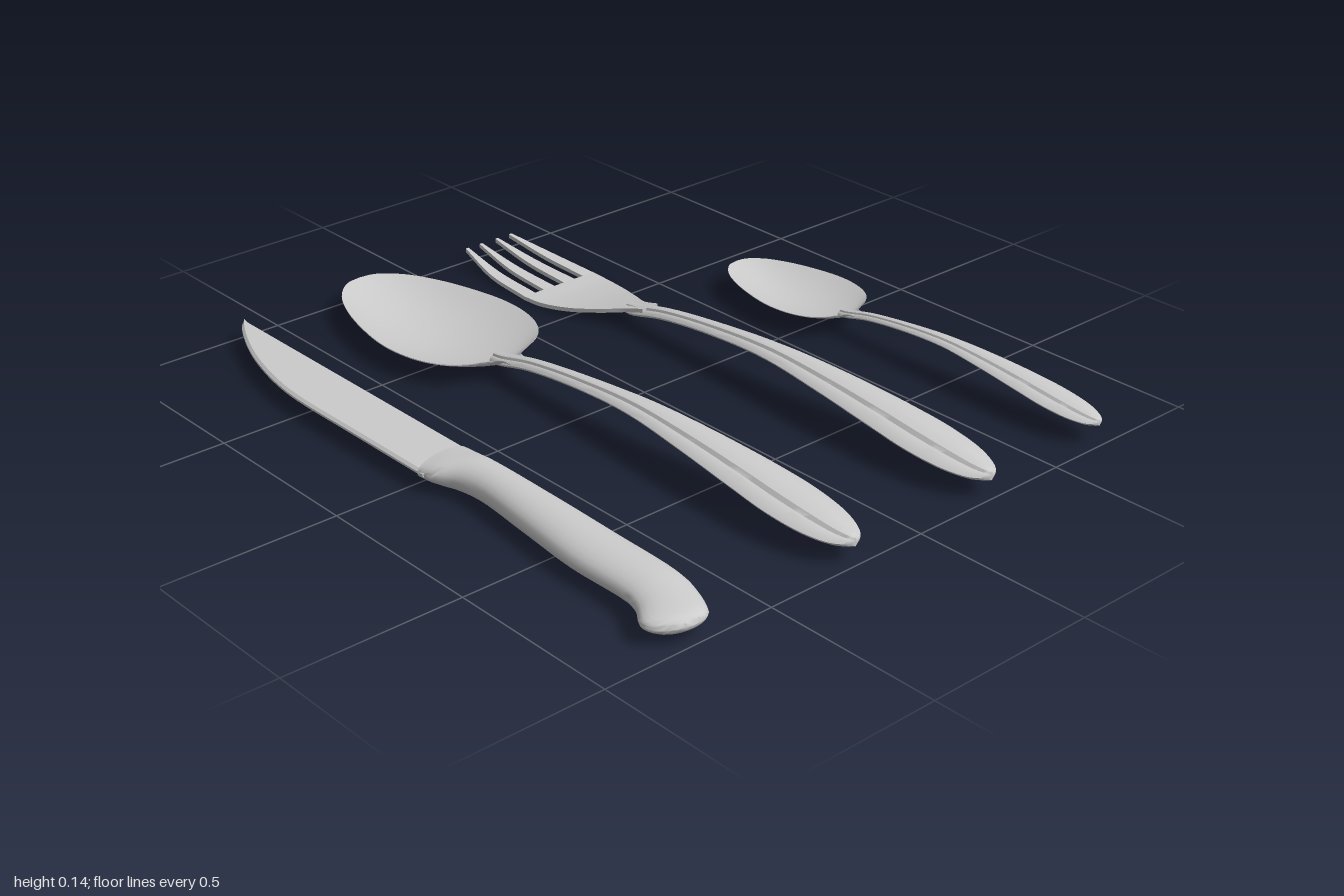
import * as THREE from 'three';
import { toCreasedNormals } from 'three/addons/utils/BufferGeometryUtils.js';

const material = new THREE.MeshStandardMaterial({ color: 0xcccccc });

// Closed skin over a list of equal-length rings of [x, y, z], fan-capped at both ends
function loft(name, rings, crease = 0.6) {
  const n = rings[0].length;
  const pos = rings.flat(2);
  const idx = [];
  for (let i = 0; i < rings.length - 1; i++) {
    for (let j = 0; j < n; j++) {
      const a = i * n + j, b = i * n + (j + 1) % n;
      idx.push(a, b, a + n, b, b + n, a + n);
    }
  }
  [0, rings.length - 1].forEach((r, end) => {
    const c = pos.length / 3;
    for (let k = 0; k < 3; k++) pos.push(rings[r].reduce((s, p) => s + p[k], 0) / n);
    for (let j = 0; j < n; j++) {
      const a = r * n + j, b = r * n + (j + 1) % n;
      if (end) idx.push(c, a, b); else idx.push(c, b, a);
    }
  });
  // Turn the skin outward if the rings ran the other way
  const v = (i) => new THREE.Vector3().fromArray(pos, i * 3);
  let volume = 0;
  for (let i = 0; i < idx.length; i += 3) volume += v(idx[i]).dot(v(idx[i + 1]).cross(v(idx[i + 2])));
  if (volume < 0) idx.reverse();
  const geo = new THREE.BufferGeometry();
  geo.setAttribute('position', new THREE.Float32BufferAttribute(pos, 3));
  geo.setIndex(idx);
  const mesh = new THREE.Mesh(toCreasedNormals(geo, crease), material);
  mesh.name = name;
  return mesh;
}

// Smooth run through a few [a, b, c] stations
const smooth = (pts, count) =>
  new THREE.CatmullRomCurve3(pts.map((p) => new THREE.Vector3(...p)), false, 'centripetal').getPoints(count);

// Arched handle with a rounded back and a raised rib: stations are [half width, top y, z]
function handle() {
  const stations = smooth([
    [0.022, 0.062, -0.36], [0.03, 0.07, -0.32], [0.029, 0.098, -0.2], [0.033, 0.125, 0],
    [0.046, 0.143, 0.23], [0.066, 0.139, 0.45], [0.082, 0.126, 0.65], [0.087, 0.113, 0.78],
    [0.075, 0.098, 0.89], [0.05, 0.085, 0.955], [0.025, 0.078, 0.983], [0.004, 0.072, 0.992],
  ], 60);
  const rings = stations.map(({ x: w, y: top, z }) => {
    const t = 0.022 + 0.35 * w, up = 0.6 * t, edge = top - up;
    const rib = w * 0.5;
    const half = [[w, 0], [w * 0.85, 0.3 * up], [rib * 1.2, 0.5 * up], [rib, 0.52 * up], [rib * 0.8, 0.85 * up], [rib * 0.4, 0.97 * up]];
    const ring = half.map(([x, y]) => [x, edge + y, z]);
    ring.push([0, top, z]);
    half.slice().reverse().forEach(([x, y]) => ring.push([-x, edge + y, z]));
    for (let i = 1; i < 10; i++) {
      const a = Math.PI * (1 + i / 10);
      ring.push([w * Math.cos(a), edge + 0.4 * t * Math.sin(a), z]);
    }
    return ring;
  });
  return loft('handle', rings);
}

// Hollow egg-shaped bowl with a flat rim: stations are [half width, unused, z]
function bowl() {
  const stations = smooth([
    [0.003, 0, -0.99], [0.045, 0, -0.982], [0.082, 0, -0.955], [0.122, 0, -0.905], [0.165, 0, -0.81],
    [0.196, 0, -0.7], [0.213, 0, -0.6], [0.213, 0, -0.52], [0.197, 0, -0.44], [0.165, 0, -0.378],
    [0.12, 0, -0.338], [0.07, 0, -0.315], [0.036, 0, -0.295], [0.028, 0, -0.26],
  ], 56);
  const N = 16;
  const rings = stations.map(({ x: w, z }) => {
    const depth = 0.058 * Math.max(0, 1 - ((z + 0.62) / 0.37) ** 2);
    const ring = [];
    for (let i = 0; i <= N; i++) {
      const s = 1 - 2 * i / N;
      ring.push([w * s, 0.07 - depth * (1 - s * s), z]);
    }
    for (let i = 0; i <= N; i++) {
      const s = -1 + 2 * i / N;
      ring.push([w * s, 0.067 - (depth + 0.005) * (1 - s * s), z]);
    }
    return ring;
  });
  return loft('bowl', rings, 0.8);
}

function spoon(name) {
  const g = new THREE.Group();
  g.name = name;
  g.add(handle(), bowl());
  return g;
}

// Flat strip of thickness t between x0 and x1
const strip = (x0, x1, y, z, t) =>
  [[x0, y - t / 2, z], [x1, y - t / 2, z], [x1, y + t / 2, z], [x0, y + t / 2, z]];

function fork() {
  const g = new THREE.Group();
  g.name = 'fork';
  const head = smooth([
    [0.028, 0.075, -0.27], [0.034, 0.058, -0.33], [0.064, 0.041, -0.4], [0.102, 0.021, -0.5],
    [0.125, 0.009, -0.6], [0.13, 0.007, -0.67],
  ], 24);
  g.add(handle(), loft('forkHead', head.map((p) => strip(-p.x, p.x, p.y, p.z, 0.012))));
  // Tines: [inner x, outer x] at the root, bulge and tip
  const tines = [
    [[0.018, 0.058], [0.02, 0.051], [0.025, 0.035]],
    [[0.09, 0.13], [0.086, 0.119], [0.077, 0.087]],
  ];
  for (const [root, mid, tip] of tines) {
    const inner = smooth([[root[0], 0.007, -0.67], [mid[0], 0.015, -0.84], [tip[0], 0.038, -1]], 12);
    const outer = smooth([[root[1], 0.007, -0.67], [mid[1], 0.015, -0.84], [tip[1], 0.038, -1]], 12);
    for (const side of [1, -1]) {
      g.add(loft('tine', inner.map((p, i) => strip(side * p.x, side * outer[i].x, p.y, p.z, 0.012))));
    }
  }
  return g;
}

function knife() {
  const g = new THREE.Group();
  g.name = 'knife';
  const Y = 0.05;
  // Blade: stations are [cutting edge x, unused, z], with a straight spine
  const edge = smooth([
    [-0.774, 0, 0.05], [-0.774, 0, -0.25], [-0.773, 0, -0.5], [-0.763, 0, -0.6], [-0.743, 0, -0.7],
    [-0.714, 0, -0.8], [-0.673, 0, -0.9], [-0.635, 0, -0.97], [-0.614, 0, -0.992],
  ], 40);
  g.add(loft('blade', edge.map(({ x, z }) => {
    const R = -0.611, b = Math.min(0.008, (R - x) * 0.3);
    const half = [[x, 0.003], [x + b, 0.009], [R - b, 0.009], [R, 0.003]];
    return [...half.map(([px, h]) => [px, Y + h, z]), ...half.reverse().map(([px, h]) => [px, Y - h, z])];
  }), 0.3));
  // Grip: elliptical sections between a left and a right outline, [x, half height, z] and [x, 0, z]
  const L = smooth([
    [-0.776, 0.032, 0.03], [-0.766, 0.038, 0.07], [-0.738, 0.044, 0.125], [-0.728, 0.045, 0.2], [-0.748, 0.045, 0.4],
    [-0.77, 0.043, 0.6], [-0.773, 0.039, 0.8], [-0.79, 0.034, 0.86], [-0.826, 0.027, 0.92], [-0.815, 0.022, 0.955], [-0.775, 0.008, 0.985],
  ], 50);
  const R = smooth([
    [-0.61, 0, 0.02], [-0.61, 0, 0.07], [-0.611, 0, 0.125], [-0.611, 0, 0.2], [-0.611, 0, 0.4],
    [-0.614, 0, 0.6], [-0.619, 0, 0.82], [-0.63, 0, 0.88], [-0.672, 0, 0.975], [-0.695, 0, 0.99], [-0.735, 0, 0.995],
  ], 50);
  // Both outlines are sampled by station, so each section joins matching points
  g.add(loft('grip', L.map((l, i) => {
    const r = R[i], ring = [];
    for (let j = 0; j < 24; j++) {
      const a = j / 24 * Math.PI * 2, k = (1 + Math.cos(a)) / 2;
      ring.push([l.x + (r.x - l.x) * k, Y + l.y * Math.sin(a), l.z + (r.z - l.z) * k]);
    }
    return ring;
  }), 0.9));
  return g;
}

export function createModel() {
  const model = new THREE.Group();
  model.name = 'cutlerySet';
  const tableSpoon = spoon('tableSpoon');
  tableSpoon.position.x = -0.22;
  const dinnerFork = fork();
  dinnerFork.position.x = 0.26;
  // The teaspoon is a smaller spoon, lined up with the others at the handle end
  const teaSpoon = spoon('teaSpoon');
  teaSpoon.scale.setScalar(0.68);
  teaSpoon.position.set(0.675, 0.0224, 0.317);
  model.add(knife(), tableSpoon, dinnerFork, teaSpoon);
  return model;
}
